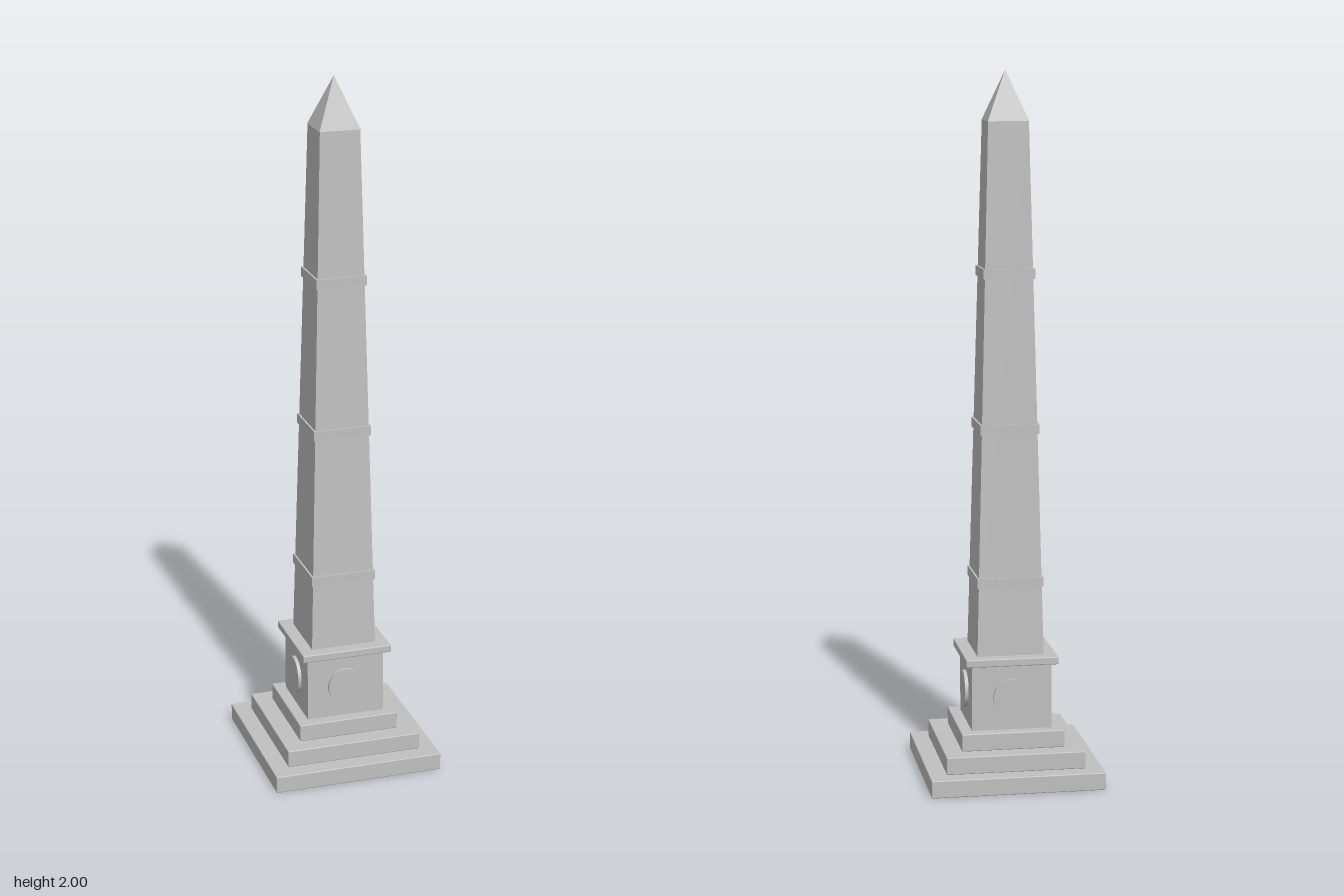
import * as THREE from 'three';
import { RoundedBoxGeometry } from 'three/addons/geometries/RoundedBoxGeometry.js';

const stone = new THREE.MeshStandardMaterial({ color: 0xc0c0c0 });
stone.name = 'stone';

export function createModel() {
  const group = new THREE.Group();

  const add = (name, geometry, x, y, z) => {
    const mesh = new THREE.Mesh(geometry, stone);
    mesh.name = name;
    mesh.position.set(x, y, z);
    group.add(mesh);
    return mesh;
  };

  // Square slab with slightly softened edges
  const slab = (name, half, y0, y1) =>
    add(name, new RoundedBoxGeometry(half * 2, y1 - y0, half * 2, 2, 0.003), 0, (y0 + y1) / 2, 0);

  // Square tapered block, sides aligned with the axes
  const taper = (name, bottom, top, y0, y1) => {
    const g = new THREE.CylinderGeometry(top * Math.SQRT2, bottom * Math.SQRT2, y1 - y0, 4, 1)
      .rotateY(Math.PI / 4).toNonIndexed();
    g.computeVertexNormals();
    return add(name, g, 0, (y0 + y1) / 2, 0);
  };

  // Stepped base
  slab('lowerStep', 0.247, 0, 0.05);
  slab('middleStep', 0.198, 0.05, 0.1);
  slab('upperStep', 0.147, 0.1, 0.15);

  // Pedestal and its cornice
  add('pedestal', new THREE.BoxGeometry(0.228, 0.19, 0.228), 0, 0.245, 0);
  slab('cornice', 0.132, 0.338, 0.36);

  // Round medallion on each pedestal face
  for (let i = 0; i < 4; i++) {
    const a = i * Math.PI / 2;
    const g = new THREE.CylinderGeometry(0.053, 0.053, 0.02, 32).rotateX(Math.PI / 2).rotateY(a);
    add('medallion', g, Math.sin(a) * 0.114, 0.245, Math.cos(a) * 0.114);
  }

  // Tapering shaft and pointed tip
  const y0 = 0.36, y1 = 1.86, wide = 0.095, narrow = 0.057;
  const halfAt = (y) => wide + (narrow - wide) * (y - y0) / (y1 - y0);
  taper('shaft', wide, narrow, y0, y1);
  taper('tip', narrow + 0.001, 0, y1, 2);

  // Thin raised bands around the shaft
  for (const y of [0.57, 1.005, 1.44]) {
    const size = 2 * (halfAt(y) + 0.005);
    add('band', new THREE.BoxGeometry(size, 0.028, size), 0, y, 0);
  }

  return group;
}
